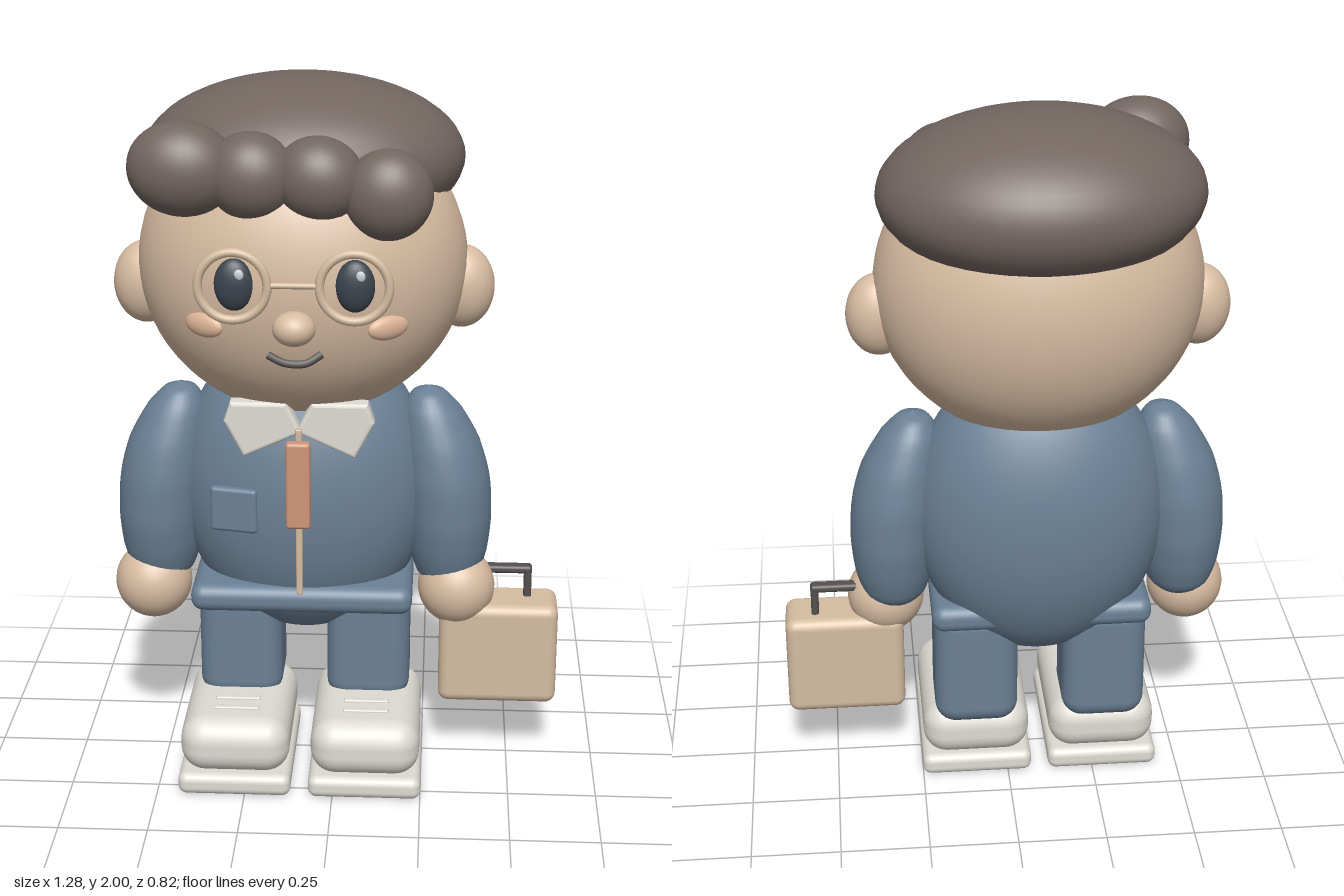
import * as THREE from 'three';
import { RoundedBoxGeometry } from 'three/addons/geometries/RoundedBoxGeometry.js';

const mat = (name, color) => {
  const m = new THREE.MeshStandardMaterial({ color });
  m.name = name;
  return m;
};

// Egg-like sleeve lofted from ellipses: [y, centre x, radius x, radius z]
function sleeveGeometry(sections, side, n = 28) {
  const pos = [], idx = [];
  for (const [y, cx, rx, rz] of sections) {
    for (let i = 0; i < n; i++) {
      const a = (i / n) * Math.PI * 2;
      pos.push(side * cx + rx * Math.sin(a), y, rz * Math.cos(a) - 0.028);
    }
  }
  for (let s = 0; s < sections.length - 1; s++) {
    for (let i = 0; i < n; i++) {
      const a = s * n + i, b = s * n + (i + 1) % n;
      idx.push(a, a + n, b, b, a + n, b + n);
    }
  }
  const g = new THREE.BufferGeometry();
  g.setAttribute('position', new THREE.Float32BufferAttribute(pos, 3));
  g.setIndex(idx);
  g.computeVertexNormals();
  return g;
}

export function createModel() {
  const skin = mat('skin', 0xd8bca2);
  const blush = mat('blush', 0xdeb698);
  const hair = mat('hair', 0x736661);
  const suit = mat('suit blue', 0x6b8196);
  const white = mat('off white', 0xdedbd3);
  const tieMat = mat('tie orange', 0xcf9579);
  const tan = mat('case tan', 0xd5bca1);
  const dark = mat('dark grey', 0x55504f);
  const eyeMat = mat('eye slate', 0x3b444d);
  const glint = mat('eye glint', 0xc8d0d6);

  const model = new THREE.Group();
  const figure = new THREE.Group();
  figure.name = 'figure';
  figure.position.x = -0.094;
  model.add(figure);

  const add = (name, geo, m, x = 0, y = 0, z = 0, parent = figure) => {
    const mesh = new THREE.Mesh(geo, m);
    mesh.name = name;
    mesh.position.set(x, y, z);
    parent.add(mesh);
    return mesh;
  };
  const ball = (name, m, [x, y, z], [rx, ry, rz], seg = 32) =>
    add(name, new THREE.SphereGeometry(1, seg, Math.ceil(seg * 0.7)).scale(rx, ry, rz), m, x, y, z);
  const box = (name, m, [x, y, z], [w, h, d], r, parent = figure) =>
    add(name, new RoundedBoxGeometry(w, h, d, 4, r), m, x, y, z, parent);

  // Head and hair
  ball('head', skin, [0, 1.5, -0.013], [0.45, 0.43, 0.358], 48);
  ball('hairCap', hair, [0, 1.78, -0.07], [0.438, 0.22, 0.345], 40);
  [
    [-0.295, 1.807, 0.235, 0.145, 0.125, 0.11, -0.1],
    [-0.115, 1.79, 0.24, 0.12, 0.116, 0.1, -0.3],
    [0.06, 1.785, 0.245, 0.12, 0.112, 0.098, -0.3],
    [0.238, 1.748, 0.253, 0.118, 0.12, 0.093, -0.3],
  ].forEach(([x, y, z, rx, ry, rz, tilt]) => {
    ball('fringeLock', hair, [x, y, z], [rx, ry, rz]).rotation.z = tilt;
  });

  // Face
  ball('nose', skin, [0, 1.417, 0.358], [0.057, 0.046, 0.052], 24);
  const mouthPath = new THREE.CatmullRomCurve3([
    new THREE.Vector3(-0.07, 1.332, 0.322), new THREE.Vector3(-0.025, 1.317, 0.34),
    new THREE.Vector3(0.03, 1.317, 0.34), new THREE.Vector3(0.07, 1.337, 0.322),
  ]);
  add('mouth', new THREE.TubeGeometry(mouthPath, 16, 0.011, 8), dark);
  const bridge = add('glassesBridge', new THREE.CylinderGeometry(0.008, 0.008, 0.14, 10), tan, 0, 1.535, 0.368);
  bridge.rotation.z = Math.PI / 2;

  // Torso, belt and front details
  ball('torso', suit, [0, 0.84, -0.05], [0.36, 0.45, 0.25], 48);
  box('belt', suit, [0, 0.553, -0.015], [0.625, 0.08, 0.39], 0.035);
  box('zip', tan, [0, 0.84, 0.206], [0.018, 0.49, 0.02], 0.004);
  box('tie', tieMat, [0, 0.935, 0.242], [0.068, 0.25, 0.034], 0.01);
  box('pocket', suit, [-0.183, 0.83, 0.168], [0.135, 0.13, 0.03], 0.012).rotation.y = -0.2;

  const sleeve = [
    [1.135, 0.35, 0.001, 0.001], [1.12, 0.35, 0.045, 0.05], [1.07, 0.36, 0.083, 0.088],
    [0.97, 0.385, 0.113, 0.125], [0.85, 0.403, 0.125, 0.144], [0.75, 0.41, 0.123, 0.143],
    [0.65, 0.412, 0.112, 0.125], [0.58, 0.412, 0.09, 0.1], [0.545, 0.412, 0.055, 0.06],
    [0.53, 0.412, 0.001, 0.001],
  ];
  // Smooth the sleeve by sampling a spline through each section value
  const steps = 36;
  const centreCurve = new THREE.CatmullRomCurve3(sleeve.map(([y, c]) => new THREE.Vector3(y, c, 0)));
  const radiusCurve = new THREE.CatmullRomCurve3(sleeve.map(([, , a, b]) => new THREE.Vector3(a, b, 0)));
  const sleeveSections = Array.from({ length: steps + 1 }, (_, i) => {
    const c = centreCurve.getPoint(i / steps), r = radiusCurve.getPoint(i / steps);
    return [c.x, c.y, Math.max(r.x, 0.001), Math.max(r.y, 0.001)];
  });

  const collarPoints = [[0.005, 1.075], [0.04, 1.145], [0.18, 1.145], [0.195, 1.1], [0.148, 1.01]];

  // Mirrored parts
  for (const side of [1, -1]) {
    const s = side > 0 ? 'left' : 'right';
    ball(s + 'Ear', skin, [side * 0.435, 1.428, -0.025], [0.09, 0.116, 0.08]);
    ball(s + 'Eye', eyeMat, [side * 0.157, 1.524, 0.325], [0.052, 0.07, 0.03], 24);
    ball(s + 'EyeGlint', glint, [side * 0.157 + 0.015, 1.556, 0.348], [0.013, 0.015, 0.006], 12);
    add(s + 'GlassesRim', new THREE.TorusGeometry(0.09, 0.012, 12, 40), tan, side * 0.157, 1.532, 0.368);
    ball(s + 'Cheek', blush, [side * 0.242, 1.4, 0.281], [0.062, 0.033, 0.02], 24).rotation.y = side * 0.6;

    const pts = collarPoints.map(([x, y]) => new THREE.Vector2(side * x, y));
    add(s + 'Collar', new THREE.ExtrudeGeometry(new THREE.Shape(pts), {
      depth: 0.03, bevelThickness: 0.012, bevelSize: 0.01, bevelSegments: 3,
    }), white, 0, 0, 0.16);

    add(s + 'Arm', sleeveGeometry(sleeveSections, side), suit);
    ball(s + 'Hand', skin, [side * 0.437, 0.54, 0.003], [0.11, 0.112, 0.108]);

    // Leg and shoe
    const lx = side * 0.185;
    box(s + 'Leg', suit, [lx, 0.37, -0.06], [0.24, 0.38, 0.245], 0.06);
    box(s + 'Shoe', white, [lx, 0.14, 0.07], [0.31, 0.165, 0.465], 0.07);
    box(s + 'Sole', white, [lx, 0.034, 0.073], [0.32, 0.065, 0.475], 0.025);
    for (const z of [0.13, 0.19]) box(s + 'Lace', white, [lx, 0.222, z], [0.13, 0.014, 0.018], 0.005);
  }

  // Briefcase with handle
  const briefcase = new THREE.Group();
  briefcase.name = 'briefcase';
  briefcase.position.set(0.466, 0, -0.008);
  model.add(briefcase);
  box('caseBody', tan, [0, 0.348, 0], [0.34, 0.306, 0.165], 0.03, briefcase);
  box('handleBar', dark, [0, 0.583, -0.018], [0.19, 0.024, 0.036], 0.01, briefcase);
  for (const x of [-0.083, 0.083]) {
    box('handlePost', dark, [x, 0.54, -0.018], [0.022, 0.1, 0.034], 0.009, briefcase);
  }
  return model;
}
